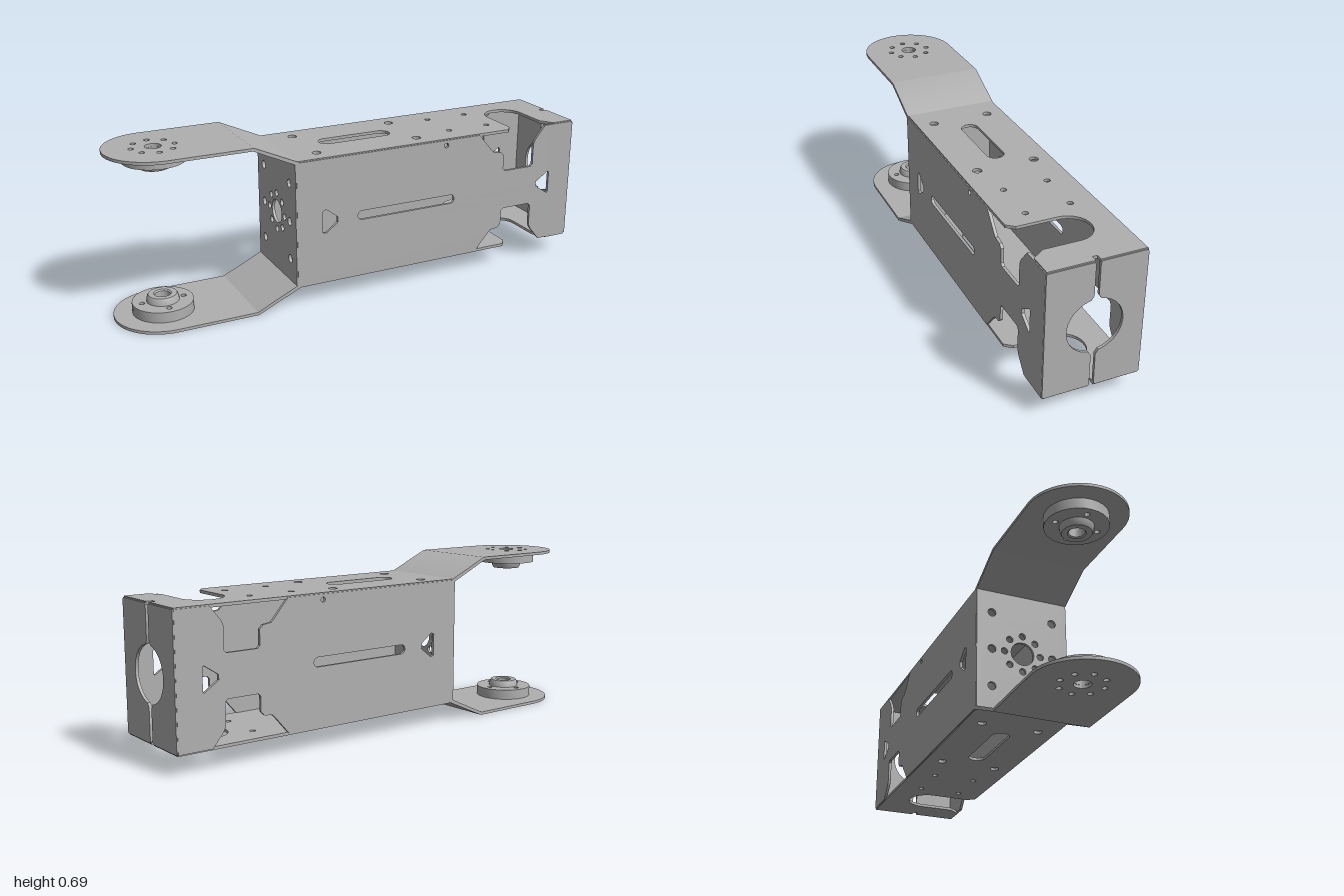
import * as THREE from 'three';
import { toCreasedNormals } from 'three/addons/utils/BufferGeometryUtils.js';

const metal = new THREE.MeshStandardMaterial({ color: 0xb0b0b0 });
metal.name = 'grey metal';
const T = 0.012;          // sheet thickness
const MID = 0.345;        // height of the centre line; parts are built around y = 0
const W = 0.195;          // half width in z

const poly = (pts) => new THREE.Shape(pts.map(([x, y]) => new THREE.Vector2(x, y)));
const polyHole = (pts) => new THREE.Path(pts.map(([x, y]) => new THREE.Vector2(x, y)));
const round = (x, y, r) => new THREE.Path().absarc(x, y, r, 0, Math.PI * 2, false);
const ring = (x, y, radius, r, n, start = 0) => Array.from({ length: n }, (_, i) => {
  const a = start + i * Math.PI * 2 / n;
  return round(x + radius * Math.cos(a), y + radius * Math.sin(a), r);
});
function slot(x0, x1, r) {
  const p = new THREE.Path();
  p.absarc(x1 - r, 0, r, -Math.PI / 2, Math.PI / 2, false);
  p.absarc(x0 + r, 0, r, Math.PI / 2, Math.PI * 1.5, false);
  p.closePath();
  return p;
}

function mesh(name, geo) {
  const m = new THREE.Mesh(toCreasedNormals(geo, 0.6), metal);
  m.name = name;
  return m;
}
const extrude = (shape, depth) =>
  new THREE.ExtrudeGeometry(shape, { depth, bevelEnabled: false, curveSegments: 14 });

// Horizontal sheet drawn in (x, z), its upper face at height y
const flat = (name, shape, y, depth = T) =>
  mesh(name, extrude(shape, depth).rotateX(Math.PI / 2).translate(0, y, 0));
// Cross sheet drawn in (z, y), its +x face at x
const cross = (name, shape, x) =>
  mesh(name, extrude(shape, T).rotateY(-Math.PI / 2).translate(x, 0, 0));

// Long side wall with a narrow waist near the open end
function sideWall(name, z) {
  const upper = [[0.995, 0.26], [0.855, 0.26], [0.81, 0.205], [0.8, 0.185], [0.8, 0.095],
    [0.79, 0.085], [0.66, 0.085], [0.65, 0.095], [0.65, 0.155], [0.635, 0.17], [0.6, 0.175],
    [0.585, 0.19], [0.525, 0.26], [-0.295, 0.26], [-0.305, 0.25]];
  const lower = upper.map(([x, y]) => [x, -y]).reverse();
  const s = poly([...upper, ...lower]);
  s.holes.push(
    slot(-0.04, 0.41, 0.019),
    polyHole([[-0.195, -0.045], [-0.18, -0.05], [-0.13, -0.012], [-0.13, 0.012], [-0.18, 0.05], [-0.195, 0.045]]),
    polyHole([[0.885, -0.05], [0.89, -0.045], [0.89, 0.045], [0.885, 0.05], [0.825, 0.01], [0.825, -0.01]]),
    round(0.365, 0.238, 0.01));
  return mesh(name, extrude(s, T).translate(0, 0, z));
}

// Top and bottom sheet with the cable cutout open towards the front
function deckShape() {
  const z = W - 0.004;
  const s = new THREE.Shape();
  s.moveTo(-0.3, -z);
  s.lineTo(0.995, -z);
  s.lineTo(0.995, -0.01);
  s.lineTo(0.97, -0.01);
  s.lineTo(0.97, 0.01);
  s.lineTo(0.995, 0.01);
  s.lineTo(0.995, z);
  s.lineTo(0.9, z);
  s.lineTo(0.865, 0.14);
  s.lineTo(0.865, -0.005);
  s.absarc(0.78, -0.005, 0.085, 0, -Math.PI, true);
  s.lineTo(0.695, 0.16);
  s.lineTo(0.67, z);
  s.lineTo(-0.3, z);
  s.closePath();
  s.holes.push(slot(-0.12, 0.2, 0.036));
  for (const side of [-1, 1]) {
    for (const x of [-0.185, 0.265]) s.holes.push(round(x, side * 0.12, 0.018));
    for (const x of [0.44, 0.625]) s.holes.push(round(x, side * 0.09, 0.012));
  }
  return s;
}

// One half of the open end, with half of the round opening
function endHalf(name) {
  const s = new THREE.Shape();
  const R = 0.11, a = 1.39;
  s.moveTo(0.015, -0.26);
  s.lineTo(0.188, -0.26);
  s.lineTo(W - 0.001, -0.254);
  s.lineTo(W - 0.001, 0.254);
  s.lineTo(0.188, 0.26);
  s.lineTo(0.015, 0.26);
  s.lineTo(0.009, 0.254);
  s.lineTo(0.009, 0.125);
  s.absarc(0, 0, R, a, -a, true);
  s.lineTo(0.009, -0.125);
  s.lineTo(0.009, -0.254);
  s.closePath();
  return cross(name, s, 1);
}

// Lower fork arm with its bearing hub
function forkArm(name) {
  const g = new THREE.Group();
  g.name = name;
  const cx = -0.805, base = -MID;
  const s = new THREE.Shape();
  s.moveTo(-0.478, -W);
  s.lineTo(-0.478, W);
  s.lineTo(cx, W);
  s.absarc(cx, 0, W, Math.PI / 2, Math.PI * 1.5, false);
  s.closePath();
  s.holes.push(round(cx, 0, 0.032),
    ...ring(cx, 0, 0.085, 0.011, 4), ...ring(cx, 0, 0.085, 0.011, 4, Math.PI / 4));
  g.add(flat('armPlate', s, base + T));

  const bend = poly([[-0.48, base], [-0.475, base], [-0.292, -0.262], [-0.297, -0.248], [-0.48, base + T]]);
  g.add(mesh('armBend', extrude(bend, 2 * W).translate(0, 0, -W)));

  const disc = new THREE.Shape().absarc(cx, 0, 0.122, 0, Math.PI * 2, false);
  disc.holes.push(round(cx, 0, 0.03), ...ring(cx, 0, 0.085, 0.011, 4));
  g.add(flat('hubFlange', disc, base + 0.055, 0.043));

  const boss = [[0.03, 0.05], [0.066, 0.05], [0.062, 0.075], [0.057, 0.083], [0.035, 0.083], [0.03, 0.078], [0.03, 0.05]]
    .map(([x, y]) => new THREE.Vector2(x, y));
  g.add(mesh('hubBoss', new THREE.LatheGeometry(boss, 32).translate(cx, base, 0)));
  return g;
}

export function createModel() {
  const model = new THREE.Group();
  model.name = 'robotArmBracket';
  const body = new THREE.Group();
  body.name = 'bracketBody';
  body.position.y = MID;
  model.add(body);

  body.add(sideWall('frontWall', W - T), sideWall('backWall', -W));
  body.add(flat('topPlate', deckShape(), 0.265), flat('bottomPlate', deckShape(), -0.265 + T));

  // Closed end with hub opening and screw holes
  const e = W - 0.001;
  const end = poly([[-e, -0.262], [e, -0.262], [e, 0.262], [-e, 0.262]]);
  end.holes.push(round(0, 0, 0.049), ...ring(0, 0, 0.077, 0.014, 8));
  for (const z of [-0.13, 0.13]) for (const y of [-0.16, 0, 0.16]) end.holes.push(round(z, y, 0.017));
  body.add(cross('forkEndPlate', end, -0.298));

  // The second half and the upper arm are the first ones turned over
  const halfB = endHalf('openEndBack');
  halfB.rotation.x = Math.PI;
  body.add(endHalf('openEndFront'), halfB);
  const upper = forkArm('upperArm');
  upper.rotation.x = Math.PI;
  body.add(forkArm('lowerArm'), upper);
  return model;
}
